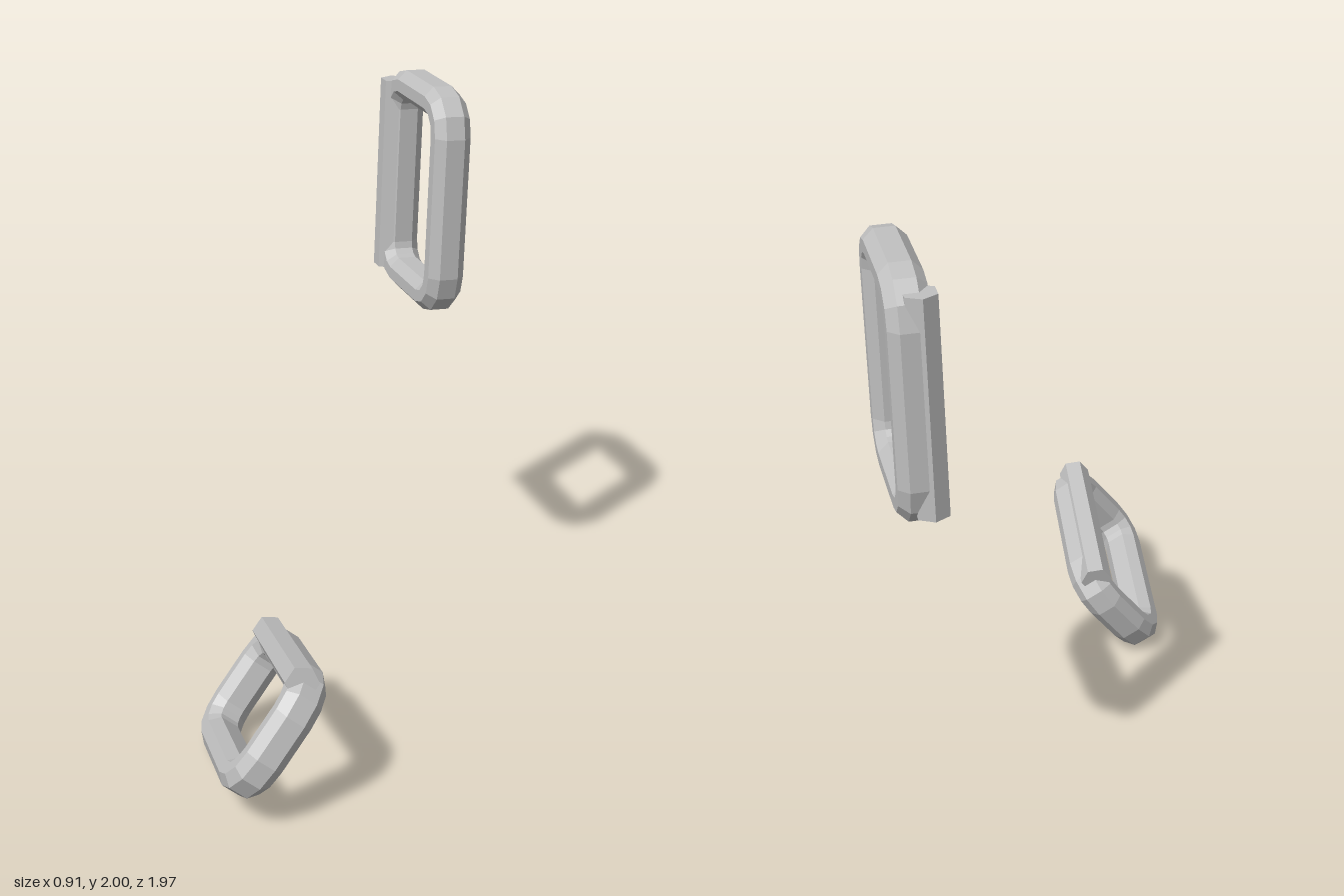
import * as THREE from 'three';

// Bevelled tube section: [outward in the frame's plane, along its thickness]
const SECTION = [
  [0.053, -0.033], [0.053, 0.033], [0.021, 0.065], [-0.021, 0.065],
  [-0.053, 0.033], [-0.053, -0.033], [-0.021, -0.065], [0.021, -0.065],
];

// Section swept round a rounded rectangle in the XY plane
function frameGeometry(halfW, halfH, cornerR = 0.1, cornerSteps = 3) {
  const rows = [];
  const corners = [[1, 1], [-1, 1], [-1, -1], [1, -1]];
  corners.forEach(([sx, sy], c) => {
    for (let s = 0; s <= cornerSteps; s++) {
      const t = (c + s / cornerSteps) * Math.PI / 2;
      rows.push(SECTION.map(([w, z]) => [
        sx * (halfW - cornerR) + (cornerR + w) * Math.cos(t),
        sy * (halfH - cornerR) + (cornerR + w) * Math.sin(t),
        z,
      ]));
    }
  });
  const pos = [];
  rows.forEach((row, i) => {
    const next = rows[(i + 1) % rows.length];
    row.forEach((a, k) => {
      const k2 = (k + 1) % row.length;
      pos.push(...a, ...next[k], ...next[k2], ...a, ...next[k2], ...row[k2]);
    });
  });
  const geo = new THREE.BufferGeometry();
  geo.setAttribute('position', new THREE.Float32BufferAttribute(pos, 3));
  geo.computeVertexNormals();
  return geo;
}

export function createModel() {
  const steel = new THREE.MeshStandardMaterial({ color: 0xc0c0c0, flatShading: true });
  steel.name = 'light grey steel';

  // One link: a rounded frame with a bar lying against one long side
  function makeLink(name, position, across, along, halfW, halfH) {
    const link = new THREE.Group();
    link.name = name;
    const frame = new THREE.Mesh(frameGeometry(halfW, halfH), steel);
    frame.name = 'frame';

    // Hexagonal bar with a corner pointing along X
    const barGeo = new THREE.CylinderGeometry(0.055, 0.055, halfH * 2, 6);
    barGeo.rotateY(Math.PI / 2);
    const bar = new THREE.Mesh(barGeo, steel);
    bar.name = 'sideBar';
    bar.position.set(-halfW - 0.005, 0, 0.035);
    link.add(frame, bar);

    const x = new THREE.Vector3(...across).normalize();
    const z = x.clone().cross(new THREE.Vector3(...along)).normalize();
    const y = z.clone().cross(x);
    link.quaternion.setFromRotationMatrix(new THREE.Matrix4().makeBasis(x, y, z));
    link.position.set(...position);
    return link;
  }

  const model = new THREE.Group();
  model.name = 'linkPair';
  model.add(
    makeLink('upperLink', [0.306, 1.6, -0.697], [0.3, 0, 0.954], [0.03, 1, -0.01], 0.238, 0.348),
    makeLink('lowerLink', [-0.25, 0.246, 0.617], [-0.56, -0.775, 0.295], [0.2, 0.22, 0.957], 0.18, 0.305),
  );
  return model;
}
